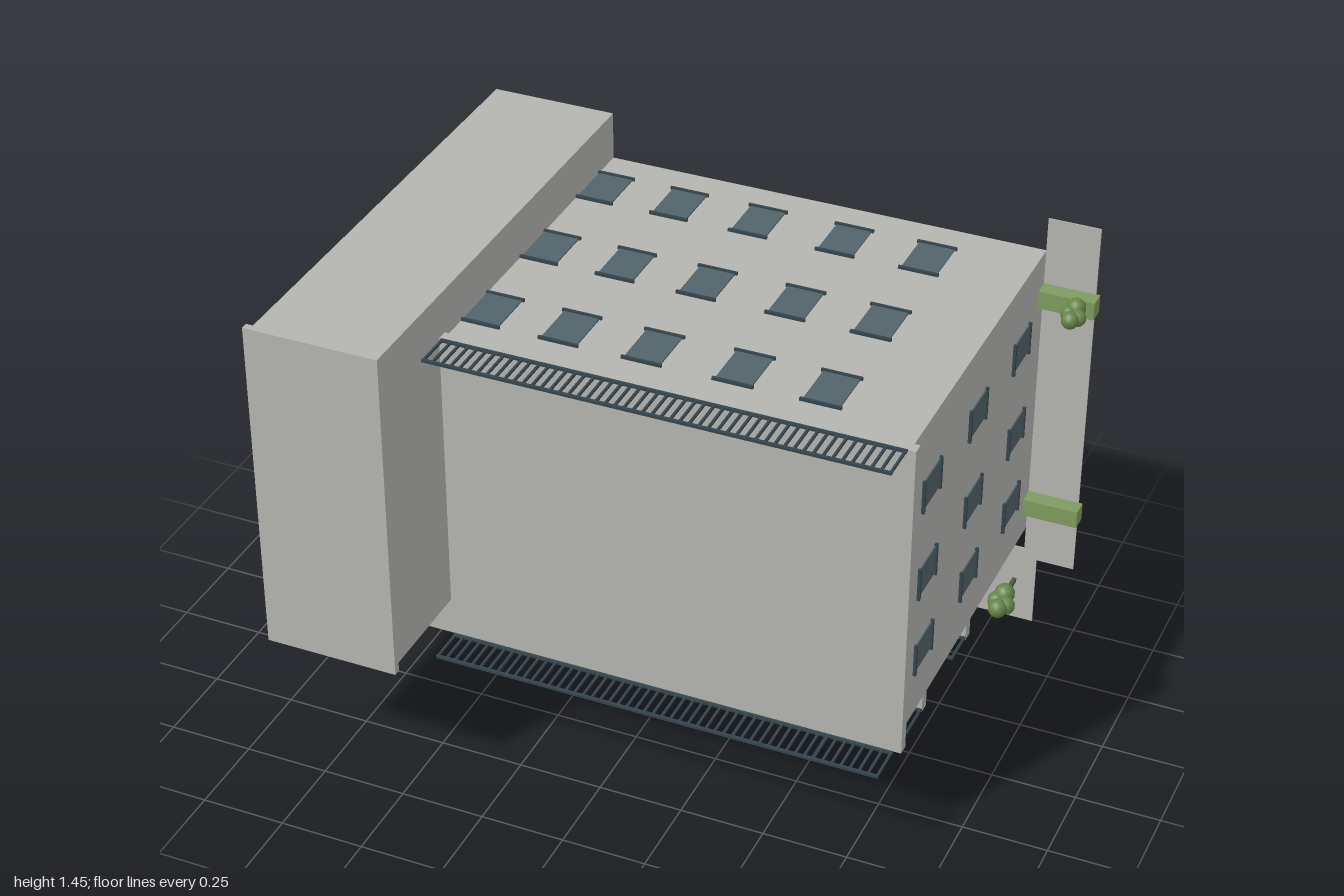
import * as THREE from 'three';

const flat = (name, color) => {
  const m = new THREE.MeshStandardMaterial({ color });
  m.name = name;
  return m;
};

export function createModel() {
  const wall = flat('concrete grey', 0xb4b4b1);
  const glass = flat('window slate', 0x52636b);
  const metal = flat('dark metal', 0x35454d);
  const planterGreen = flat('planter green', 0x7f9c5f);
  const leaf = flat('leaf green', 0x668548);
  const bark = flat('bark', 0x4a5548);

  const model = new THREE.Group();
  model.name = 'apartmentBlock';

  const group = (name) => {
    const g = new THREE.Group();
    g.name = name;
    model.add(g);
    return g;
  };
  // Box given by its lower and upper limits on each axis
  const box = (name, mat, [x0, x1], [y0, y1], [z0, z1], parent = model) => {
    const mesh = new THREE.Mesh(new THREE.BoxGeometry(x1 - x0, y1 - y0, z1 - z0), mat);
    mesh.position.set((x0 + x1) / 2, (y0 + y1) / 2, (z0 + z1) / 2);
    mesh.name = name;
    parent.add(mesh);
    return mesh;
  };
  const around = (c, size) => [c - size / 2, c + size / 2];

  // Main block and stair tower, each with a projecting cap slab
  box('mainBlock', wall, [-0.64, 0.83], [0.336, 1.29], [-0.747, 0.355]);
  box('mainCap', wall, [-0.66, 0.855], [0.317, 1.308], [0.353, 0.386]);
  box('tower', wall, [-0.893, -0.513], [0.434, 1.437], [-0.747, 0.73]);
  box('towerCap', wall, [-0.903, -0.503], [0.422, 1.449], [0.726, 0.748]);

  // Pavement strip along two sides
  const outline = [[-1, 0], [0.87, 0], [0.87, 0.227], [0.985, 0.227], [0.985, 1.395],
    [0.83, 1.395], [0.83, 0.26], [-1, 0.26]].map(([x, y]) => new THREE.Vector2(x, y));
  const pavement = new THREE.Mesh(
    new THREE.ExtrudeGeometry(new THREE.Shape(outline), { depth: 0.004, bevelEnabled: false }), wall);
  pavement.position.z = -0.747;
  pavement.name = 'pavement';
  model.add(pavement);

  // Window: thin pane with a sill and a lintel bar at its z ends
  const windows = group('windows');
  const addWindow = (c, normal, width, length) => {
    const g = new THREE.Group();
    g.name = 'window';
    g.position.set(...c);
    windows.add(g);
    const across = normal === 'x' ? 'y' : 'x';
    const part = (name, mat, w, l, thick, z) => {
      const s = { [normal]: thick, [across]: w, z: l };
      const m = new THREE.Mesh(new THREE.BoxGeometry(s.x, s.y, s.z), mat);
      m.position.z = z;
      m.name = name;
      g.add(m);
    };
    part('pane', glass, width, length, 0.008, 0);
    for (const side of [-1, 1]) part('sill', metal, width + 0.013, 0.008, 0.018, side * length / 2);
  };

  // Upper side: five columns by three floors
  for (const x of [-0.457, -0.222, 0.024, 0.289, 0.54])
    for (const z of [-0.565, -0.193, 0.175]) addWindow([x, 1.29, z], 'y', 0.106, 0.155);
  // Right side
  for (const y of [1.07, 0.785, 0.53])
    for (const z of [-0.558, -0.19, 0.178]) addWindow([0.83, y, z], 'x', 0.09, 0.13);
  // Lower side
  for (const x of [-0.57, -0.38, -0.2, 0.06, 0.38, 0.69])
    for (const z of [-0.475, -0.11, 0.178]) addWindow([x, 0.336, z], 'y', 0.106, 0.15);
  // Tower
  for (const z of [-0.56, -0.195, 0.17, 0.528]) {
    for (const y of [0.6, 0.84, 1.08, 1.32]) addWindow([-0.893, y, z], 'x', 0.06, 0.25);
    addWindow([-0.79, 0.434, z], 'y', 0.06, 0.235);
  }
  addWindow([-0.61, 0.434, 0.528], 'y', 0.06, 0.235);

  // Railing: two rails along x joined by close bars
  const railing = (name, [x0, x1], y, [z0, z1]) => {
    const g = group(name);
    for (const z of [z0, z1]) box('rail', metal, [x0, x1], around(y, 0.008), around(z, 0.009), g);
    const n = Math.round((x1 - x0) / 0.027);
    for (let i = 0; i <= n; i++)
      box('bar', metal, around(x0 + 0.004 + (x1 - x0 - 0.008) * i / n, 0.007), around(y, 0.006), [z0, z1], g);
  };
  railing('upperRoofRailing', [-0.505, 0.833], 1.308, [0.393, 0.503]);
  railing('lowerRoofRailing', [-0.505, 0.833], 0.316, [0.393, 0.503]);

  // Balconies: two wide and two narrow
  for (const z of [-0.358, 0.012])
    for (const span of [[-0.485, -0.1], [0.23, 0.79]]) {
      box('balconySlab', wall, span, [0.182, 0.338], around(z, 0.035));
      railing('balconyRailing', span, 0.19, [z + 0.02, z + 0.125]);
    }

  // Dividing ribs and entrance walls
  box('dividingRib', wall, around(-0.085, 0.03), [0.302, 0.338], [-0.745, 0.354]);
  for (const x of [-0.5, -0.085, 0.212, 0.545])
    box('entranceWall', wall, around(x, 0.034), [0.282, 0.338], [-0.745, -0.375]);

  // Planters
  for (const [a, b] of [[-0.77, -0.527], [-0.248, -0.08], [0.17, 0.338], [0.562, 0.733]])
    box('planter', planterGreen, [a, b], [0.1, 0.156], [-0.744, -0.692]);
  for (const y of [0.441, 1.157])
    box('planter', planterGreen, [0.831, 0.997], around(y, 0.055), [-0.744, -0.692]);

  // Trees: a trunk and a cluster of round crowns
  const ball = new THREE.SphereGeometry(1, 12, 9);
  const tree = (x, y, z, s) => {
    const g = group('tree');
    box('trunk', bark, around(x, 0.012), around(y, 0.012), [-0.744, z], g);
    for (const [dx, dy, dz, r] of [[0, 0.25, -0.9, 0.9], [-0.5, -0.2, -0.3, 0.8],
      [0.5, -0.15, 0.2, 0.8], [0, -0.1, 0.9, 0.85]]) {
      const m = new THREE.Mesh(ball, leaf);
      m.scale.setScalar(r * s);
      m.position.set(x + dx * s, y + dy * s, z + dz * s);
      m.name = 'crown';
      g.add(m);
    }
  };
  tree(-0.813, 0.143, -0.585, 0.042);
  tree(-0.628, 0.158, -0.63, 0.033);
  tree(0.806, 0.138, -0.62, 0.035);
  tree(0.952, 1.168, -0.64, 0.031);

  return model;
}
